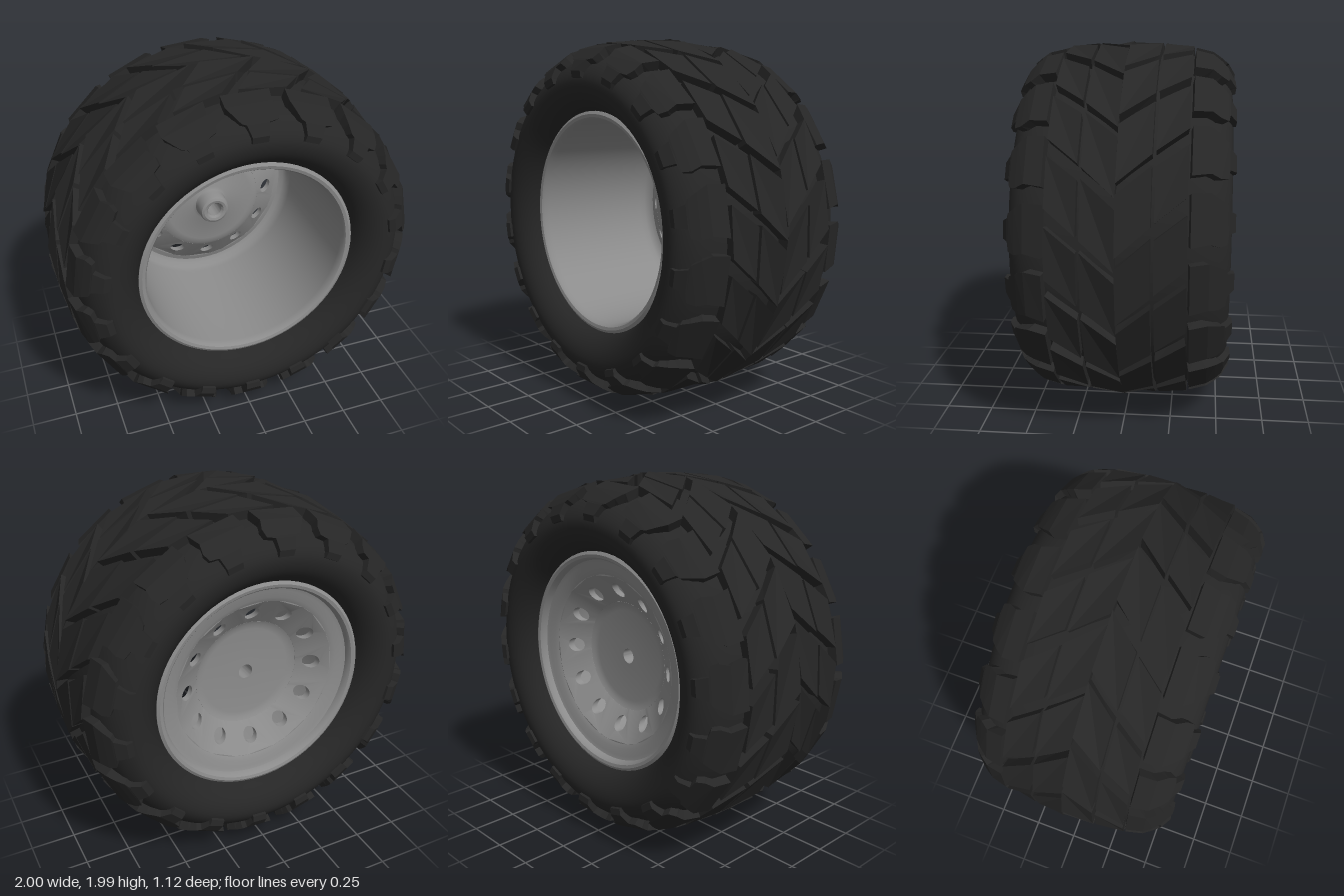
import * as THREE from 'three';
import { mergeGeometries, toCreasedNormals } from 'three/addons/utils/BufferGeometryUtils.js';

const rubber = new THREE.MeshStandardMaterial({ color: 0x262626 });
const metal = new THREE.MeshStandardMaterial({ color: 0x8c8c8c });
const DEG = Math.PI / 180;
const PITCH = 20; // degrees between tread blocks

// Lathe about the wheel axle (z); points are [radius, z]
function turned(points, segments = 72, crease = 0.6) {
  const g = new THREE.LatheGeometry(points.map(([r, z]) => new THREE.Vector2(r, z)), segments);
  g.rotateX(Math.PI / 2);
  return toCreasedNormals(g, crease);
}

// Tread block lofted through rows of [z, top radius, start angle, end angle]
function block(rows, side, turn) {
  const rings = rows.map(([z, r, a, b]) => {
    const dr = 0.72 - r, dz = Math.min(z, 0.3) - z, k = 0.1 / Math.hypot(dr, dz);
    const base = [r + dr * k, z + dz * k];
    return [[base, a], [[r, z], a], [[r, z], b], [base, b]].map(([[pr, pz], t]) => {
      const angle = (t + turn) * DEG;
      return [pr * Math.cos(angle), pr * Math.sin(angle), pz * side];
    });
  });
  const pos = [];
  const tri = (a, b, c) => pos.push(...a, ...(side > 0 ? b : c), ...(side > 0 ? c : b));
  const quad = (a, b, c, d) => { tri(a, b, c); tri(a, c, d); };
  for (let i = 0; i < rings.length - 1; i++) {
    const p = rings[i], q = rings[i + 1];
    for (let k = 0; k < 3; k++) quad(p[k], p[k + 1], q[k + 1], q[k]);
  }
  const s = rings[0], e = rings[rings.length - 1];
  quad(s[0], s[3], s[2], s[1]);
  quad(e[0], e[1], e[2], e[3]);
  const g = new THREE.BufferGeometry();
  g.setAttribute('position', new THREE.Float32BufferAttribute(pos, 3));
  g.computeVertexNormals();
  return g;
}

// One 30 degree piece of the sloping wheel face, with its round hole
function faceSector(index) {
  const half = 15 * DEG, inner = 0.31, outer = 0.475, mid = 0.385;
  const shape = new THREE.Shape();
  shape.absarc(0, 0, outer, -half, half, false);
  shape.absarc(0, 0, inner, half, -half, true);
  const hole = new THREE.Path();
  hole.absarc(mid, 0, 0.041, 0, Math.PI * 2, true);
  shape.holes.push(hole);
  const g = new THREE.ExtrudeGeometry(shape, { depth: 0.04, bevelEnabled: false, curveSegments: 12 });
  const p = g.attributes.position;
  for (let i = 0; i < p.count; i++) {
    const r = Math.hypot(p.getX(i), p.getY(i));
    p.setZ(i, p.getZ(i) - 0.27 - (r - inner) * 0.67);
  }
  g.rotateZ(index * 30 * DEG);
  return g;
}

export function createModel() {
  const wheel = new THREE.Group();
  wheel.name = 'wheel';
  wheel.position.y = 1;
  const add = (name, geometry, material) => {
    const mesh = new THREE.Mesh(geometry, material);
    mesh.name = name;
    wheel.add(mesh);
  };

  // Smooth balloon carcass, from the rear bead over the crown to the front bead
  const half = [[0.6, 0.42], [0.64, 0.485], [0.7, 0.53], [0.77, 0.543], [0.83, 0.515],
    [0.88, 0.455], [0.915, 0.35], [0.93, 0.18]];
  const knots = [...half.map(([r, z]) => [r, -z]), [0.935, 0], ...half.slice().reverse()];
  const curve = new THREE.SplineCurve(knots.map(([r, z]) => new THREE.Vector2(r, z)));
  const carcass = curve.getPoints(56).map((v) => [v.x, v.y]);
  add('tyreCarcass', turned([...carcass, [0.57, 0.4], [0.57, -0.4], carcass[0]]), rubber);

  // Directional tread: two chevron bands and a wrapping shoulder lug per side
  const bands = {
    centreTread: [[0, 1, 0, 17], [0.165, 0.988, 8.5, 25.3]],
    middleTread: [[0.182, 0.985, 9.5, 25], [0.335, 0.972, 17, 32]],
    shoulderLug: [[0.35, 0.968, 3, 18], [0.44, 0.945, 4, 18.5], [0.485, 0.915, 3, 17],
      [0.52, 0.885, 3.5, 15.5], [0.527, 0.875, 6.5, 14], [0.56, 0.82, 7, 13], [0.555, 0.785, 7, 13]],
  };
  for (const [name, rows] of Object.entries(bands)) {
    for (const side of [1, -1]) {
      const blocks = [];
      for (let a = 0; a < 360; a += PITCH) blocks.push(block(rows, side, a + (side < 0 ? 4 : 0)));
      add(name + (side > 0 ? 'Front' : 'Rear'), mergeGeometries(blocks), rubber);
    }
  }

  // Rim: rounded lips, deep open barrel at the front, shallow flange at the rear
  add('rimBarrel', turned([
    [0.475, -0.381], [0.5, -0.393], [0.54, -0.398], [0.56, -0.405], [0.565, -0.43],
    [0.575, -0.443], [0.592, -0.447], [0.608, -0.438], [0.613, -0.42], [0.605, -0.4],
    [0.58, -0.39], [0.58, 0.39], [0.605, 0.4], [0.613, 0.42], [0.608, 0.438],
    [0.592, 0.447], [0.575, 0.443], [0.566, 0.43], [0.563, 0.4], [0.555, -0.28],
    [0.548, -0.315], [0.53, -0.34], [0.505, -0.35], [0.475, -0.341],
  ].reverse().map(([r, z]) => [r, z]).reverse()), metal);

  // Sloping face with twelve holes
  const sectors = mergeGeometries(Array.from({ length: 12 }, (_, i) => faceSector(i)));
  add('wheelFace', toCreasedNormals(sectors, 0.5), metal);

  // Recessed centre plate and hub boss around the axle hole
  add('hub', turned([
    [0.31, -0.27], [0.31, -0.23], [0.29, -0.219], [0.26, -0.213], [0.11, -0.21],
    [0.093, -0.2], [0.088, -0.18], [0.088, -0.13], [0.082, -0.115], [0.068, -0.108],
    [0.052, -0.112], [0.042, -0.125], [0.042, -0.255], [0.26, -0.255], [0.29, -0.26], [0.31, -0.27],
  ], 48), metal);
  // Root group keeps the wheel standing on the floor
  const model = new THREE.Group();
  model.name = 'offRoadWheel';
  model.add(wheel);
  return model;
}
